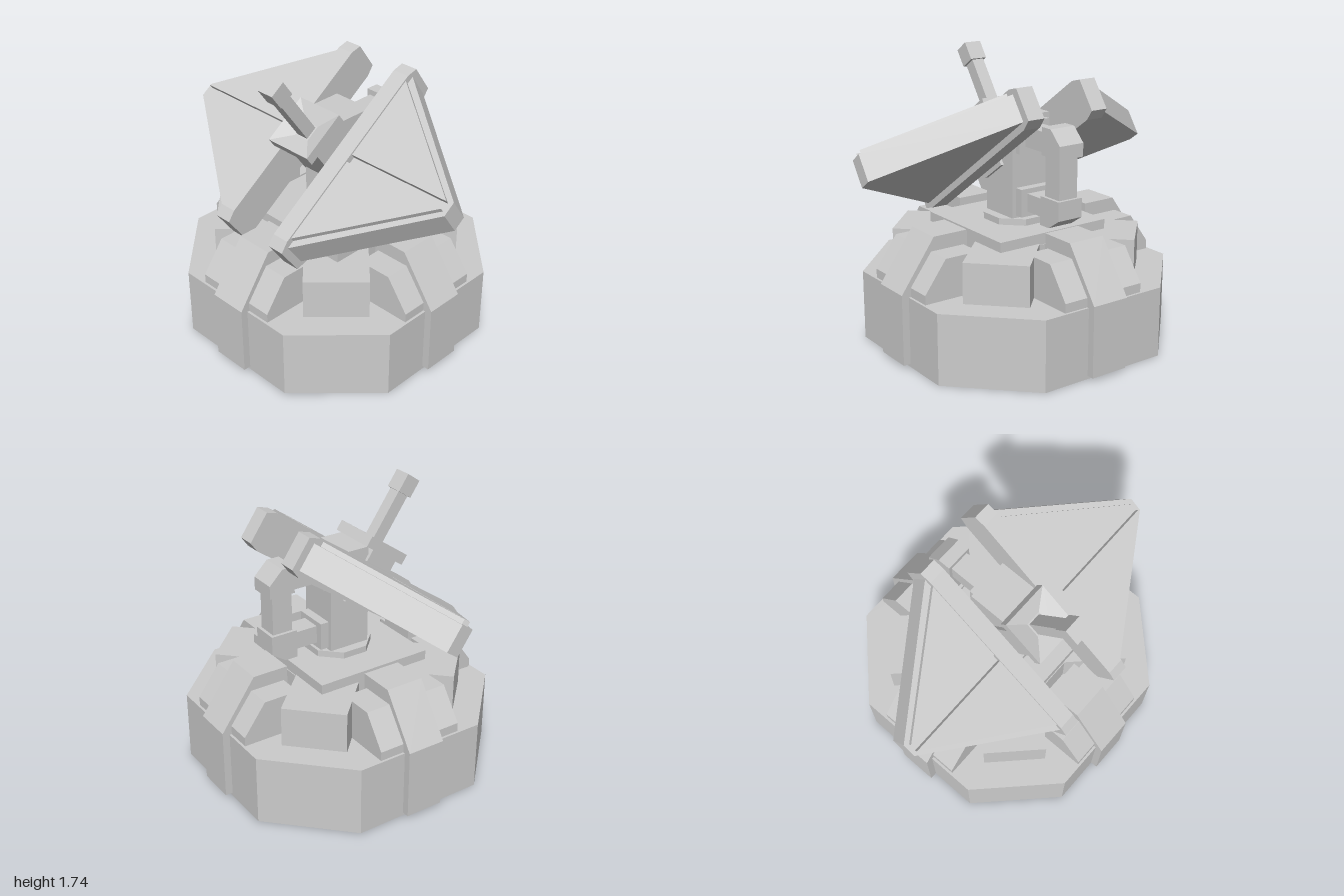
import * as THREE from 'three';

const mat = new THREE.MeshStandardMaterial({ color: 0xcccccc, flatShading: true, side: THREE.DoubleSide });

export function createModel() {
  const root = new THREE.Group();

  const add = (parent, name, geo) => {
    const m = new THREE.Mesh(geo, mat);
    m.name = name;
    parent.add(m);
    return m;
  };
  // box given by its minimum and maximum on each axis
  const box = (parent, name, x0, x1, y0, y1, z0, z1) =>
    add(parent, name, new THREE.BoxGeometry(x1 - x0, y1 - y0, z1 - z0)
      .translate((x0 + x1) / 2, (y0 + y1) / 2, (z0 + z1) / 2));
  const extrude = (pts, depth) => new THREE.ExtrudeGeometry(
    new THREE.Shape(pts.map(p => new THREE.Vector2(...p))), { depth, bevelEnabled: false });
  // profile of [z, y] points swept across x, centred on cx
  const sweepX = (pts, width, cx = 0) =>
    extrude(pts, width).translate(0, 0, -width / 2).rotateY(-Math.PI / 2).translate(cx, 0, 0);

  // Base: octagon with longer axis-aligned sides
  const a = 0.845, b = 0.42;
  const octagon = [[a, b], [b, a], [-b, a], [-a, b], [-a, -b], [-b, -a], [b, -a], [a, -b]];
  add(root, 'base', extrude(octagon, 0.43).rotateX(-Math.PI / 2));

  // Upper tier: two crossed diagonal blocks, a core and a deck
  for (const s of [1, -1]) {
    add(root, 'diagonalBlock', new THREE.BoxGeometry(0.38, 0.25, 1.462)
      .translate(0, 0.55, 0).rotateY(s * Math.PI / 4));
  }
  box(root, 'core', -0.38, 0.38, 0.42, 0.668, -0.38, 0.38);
  box(root, 'deck', -0.385, 0.385, 0.66, 0.735, -0.375, 0.375);

  // Four buttresses, each a tall middle rib with a lower shoulder
  for (let i = 0; i < 4; i++) {
    const buttress = new THREE.Group();
    buttress.name = 'buttress';
    buttress.rotation.y = i * Math.PI / 2;
    add(buttress, 'rib', sweepX(
      [[0.445, 0.02], [0.89, 0.02], [0.89, 0.45], [0.67, 0.76], [0.445, 0.76]], 0.24));
    add(buttress, 'shoulder', sweepX(
      [[0.47, 0.4], [0.83, 0.4], [0.83, 0.485], [0.69, 0.675], [0.47, 0.675]], 0.55));
    root.add(buttress);
  }

  // Column on its footing
  add(root, 'footing', new THREE.CylinderGeometry(0.21, 0.21, 0.05, 8)
    .rotateY(Math.PI / 8).translate(0, 0.75, -0.01));
  box(root, 'column', -0.135, 0.135, 0.74, 1.39, -0.145, 0.12);

  // C-shaped conduit behind the column
  box(root, 'lowerFlange', -0.11, 0.11, 0.79, 0.96, -0.2, -0.14);
  box(root, 'upperFlange', -0.11, 0.11, 1.17, 1.36, -0.18, -0.14);
  box(root, 'lowerArm', -0.065, 0.065, 0.82, 0.93, -0.37, -0.14);
  box(root, 'upperArm', -0.065, 0.065, 1.21, 1.33, -0.37, -0.14);
  box(root, 'rearPost', -0.065, 0.065, 0.93, 1.22, -0.5, -0.37);
  add(root, 'lowerElbow', sweepX(
    [[-0.35, 0.78], [-0.43, 0.78], [-0.52, 0.84], [-0.52, 0.955], [-0.35, 0.955]], 0.17));
  add(root, 'upperElbow', sweepX(
    [[-0.36, 1.2], [-0.525, 1.2], [-0.525, 1.28], [-0.44, 1.365], [-0.36, 1.365]], 0.17));

  // Tilted antenna: local y runs up the dish, local z points out of its face
  const antenna = new THREE.Group();
  antenna.name = 'antenna';
  antenna.position.set(0, 1.149, 0.1075);
  antenna.rotation.x = -55 * Math.PI / 180;
  root.add(antenna);

  for (const s of [1, -1]) {
    const wing = new THREE.Group();
    wing.name = s > 0 ? 'leftWing' : 'rightWing';
    antenna.add(wing);
    // inner beam with chamfered ends
    add(wing, 'beam', sweepX([[0.125, -0.595], [0.125, 0.595], [0.1, 0.664], [-0.1, 0.664],
      [-0.125, 0.595], [-0.125, -0.595], [-0.1, -0.664], [0.1, -0.664]], 0.11, s * 0.225));
    // tapering panel
    add(wing, 'panel', extrude([[s * 0.27, -0.625], [s, -0.045], [s, 0.045], [s * 0.27, 0.625]], 0.17)
      .translate(0, 0, -0.085));
    // two raised triangular plates
    for (const t of [1, -1]) {
      add(wing, 'facePlate', extrude(
        [[s * 0.275, t * 0.025], [s * 0.975, t * 0.025], [s * 0.275, t * 0.57]], 0.035)
        .translate(0, 0, 0.08));
    }
  }

  // Central head with a shallow square funnel, and the feed rod
  box(antenna, 'head', -0.155, 0.155, -0.1, 0.1, -0.145, 0.21);
  box(antenna, 'axle', -0.19, 0.19, -0.06, 0.06, -0.06, 0.06);
  const r2 = Math.SQRT2;
  const funnel = [[0, 0.2], [0.157, 0.2], [0.157, 0.267], [0.05, 0.23], [0, 0.23]]
    .map(([r, y]) => new THREE.Vector2(r * r2, y));
  add(antenna, 'funnel', new THREE.LatheGeometry(funnel, 4, Math.PI / 4).rotateX(Math.PI / 2));
  box(antenna, 'feedRod', -0.04, 0.04, -0.04, 0.04, 0.22, 0.58);
  box(antenna, 'feedTip', -0.056, 0.056, -0.052, 0.052, 0.575, 0.69);

  return root;
}
